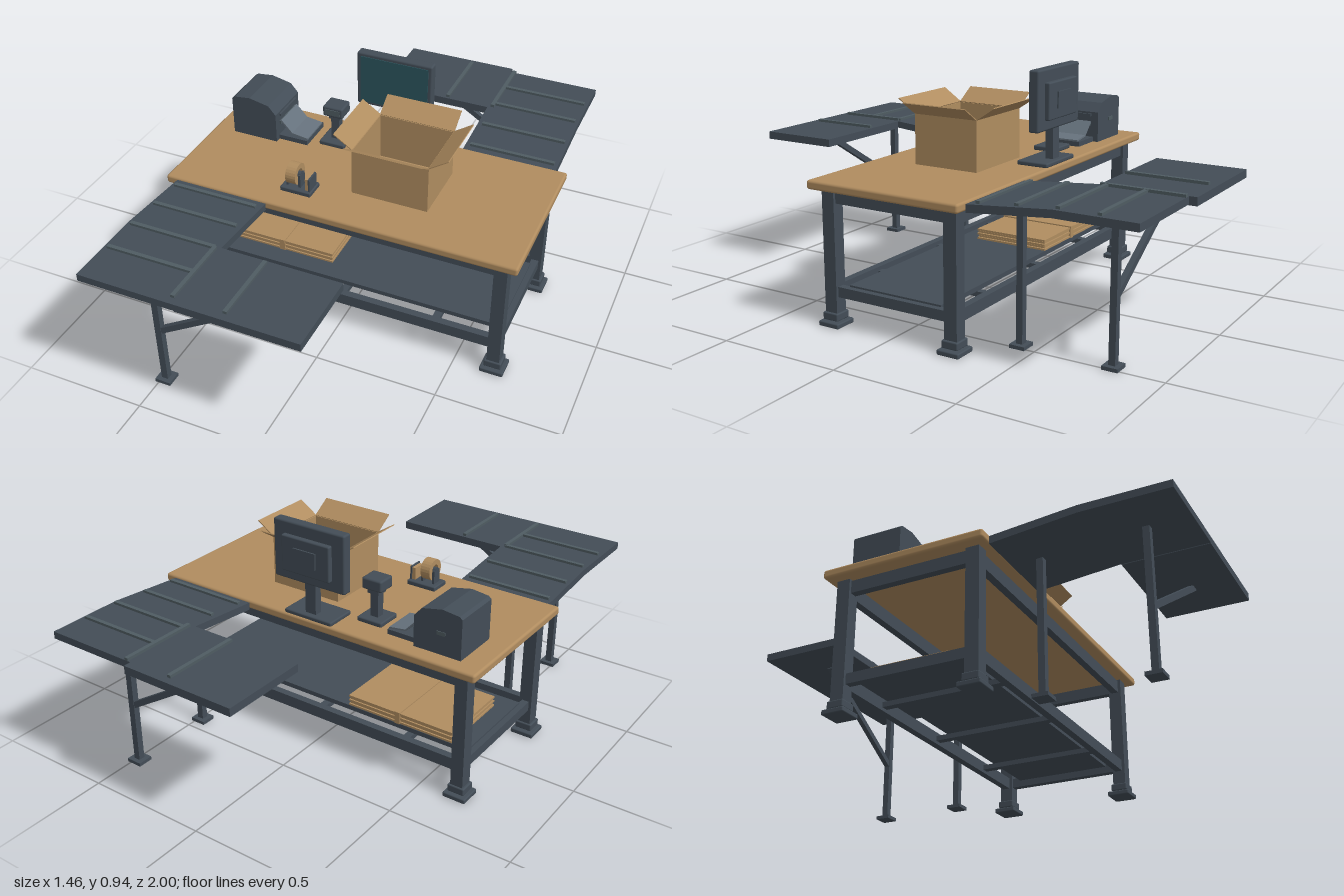
import * as THREE from 'three';
import { RoundedBoxGeometry } from 'three/addons/geometries/RoundedBoxGeometry.js';

const mat = (name, color, side = THREE.FrontSide) => {
  const m = new THREE.MeshStandardMaterial({ color, side });
  m.name = name;
  return m;
};

export function createModel() {
  const steel = mat('dark steel', 0x434d57);
  const rail = mat('rail grey', 0x4f5c62);
  const tray = mat('tray grey', 0x66727d);
  const wood = mat('wood', 0xb08c5f);
  const card = mat('cardboard', 0xb08d60, THREE.DoubleSide);
  const glass = mat('screen teal', 0x2c545d);

  const model = new THREE.Group();
  model.name = 'packingStation';
  const group = (name, parent = model) => {
    const g = new THREE.Group();
    g.name = name;
    parent.add(g);
    return g;
  };
  const add = (parent, name, geo, material) => {
    const m = new THREE.Mesh(geo, material);
    m.name = name;
    parent.add(m);
    return m;
  };
  // Box given by its limits on each axis
  const box = (parent, name, x0, x1, y0, y1, z0, z1, material = steel, round = 0) => {
    const s = [x1 - x0, y1 - y0, z1 - z0];
    const geo = round ? new RoundedBoxGeometry(...s, 2, round) : new THREE.BoxGeometry(...s);
    const m = add(parent, name, geo, material);
    m.position.set((x0 + x1) / 2, (y0 + y1) / 2, (z0 + z1) / 2);
    return m;
  };
  const shapeOf = pts => new THREE.Shape(pts.map(p => new THREE.Vector2(...p)));
  const extrude = (pts, depth) => new THREE.ExtrudeGeometry(shapeOf(pts), { depth, bevelEnabled: false });

  // Workbench
  const bench = group('workbench');
  box(bench, 'tabletop', -0.73, 0.73, 0.537, 0.572, -0.33, 0.33, wood, 0.01);
  for (const sx of [-1, 1]) for (const sz of [-1, 1]) {
    const leg = group('benchLeg', bench);
    leg.position.set(sx * 0.659, 0, sz * 0.268);
    box(leg, 'post', -0.026, 0.026, 0.05, 0.537, -0.027, 0.027);
    box(leg, 'ankle', -0.035, 0.035, 0.03, 0.06, -0.034, 0.034, steel, 0.005);
    box(leg, 'foot', -0.048, 0.048, 0.006, 0.026, -0.046, 0.046, steel, 0.005);
    box(leg, 'footStem', -0.022, 0.022, 0.02, 0.035, -0.022, 0.022);
  }
  for (const s of [-1, 1]) {
    box(bench, 'longApron', -0.64, 0.64, 0.478, 0.533, s * 0.268 - 0.015, s * 0.268 + 0.015);
    box(bench, 'sideApron', s * 0.659 - 0.015, s * 0.659 + 0.015, 0.483, 0.533, -0.25, 0.25);
    box(bench, 'shelfLongRail', -0.64, 0.64, 0.117, 0.165, s * 0.268 - 0.015, s * 0.268 + 0.015);
    box(bench, 'shelfSideRail', s * 0.659 - 0.015, s * 0.659 + 0.015, 0.122, 0.162, -0.25, 0.25);
  }
  box(bench, 'lowerShelf', -0.65, 0.65, 0.15, 0.169, -0.205, 0.205);
  for (const x of [-0.4, 0, 0.4]) box(bench, 'shelfSupport', x - 0.015, x + 0.015, 0.13, 0.15, -0.255, 0.255);

  // Flat cartons bound with a strap
  const stack = group('flatCartons');
  for (let i = 0; i < 5; i++) {
    const d = (i % 2) * 0.004;
    box(stack, 'flatCarton', -0.58 + d, -0.104 - d, 0.169 + i * 0.0094, 0.1766 + i * 0.0094, -0.203 + d, 0.123 - d, card);
  }
  box(stack, 'cartonCore', -0.57, -0.114, 0.169, 0.212, -0.193, 0.113, card);
  box(stack, 'strap', -0.347, -0.323, 0.168, 0.219, -0.207, 0.127, card);

  // Side conveyor tables, one in front and one turned to the back
  const sideTable = (name, zIn, zMain, zEnd, legZ) => {
    const g = group(name);
    const deck = extrude([[0.33, 0.533], [0.66, 0.563], [zMain, 0.563], [zMain, 0.592], [0.66, 0.592], [0.33, 0.563]], 0.395);
    deck.rotateY(-Math.PI / 2).translate(-0.285, 0, 0);
    add(g, 'slopedDeck', deck, steel);
    box(g, 'sideDeck', -0.285, 0.2, 0.56, 0.592, zIn, zEnd);
    const top = z => 0.592 - Math.max(0, 0.66 - z) * 0.088;
    for (const z of [0.37, 0.52, 0.675, 0.825])
      box(g, 'crossRail', -0.665, -0.305, top(z) - 0.005, top(z) + 0.01, z - 0.008, z + 0.008, rail);
    for (const x of [-0.305, -0.1])
      box(g, 'longRail', x - 0.008, x + 0.008, 0.587, 0.603, zIn + 0.01, zEnd - 0.03, rail);
    for (const z of [0.435, legZ]) {
      box(g, 'tableLeg', -0.495, -0.468, 0.012, top(z) - 0.02, z - 0.013, z + 0.013);
      box(g, 'tableFoot', -0.514, -0.449, 0.005, 0.019, z - 0.031, z + 0.031);
    }
    // Diagonal brace from the outer leg up to the side deck
    const a = new THREE.Vector2(-0.48, 0.262), b = new THREE.Vector2(0.015, 0.566);
    const brace = add(g, 'brace', new THREE.BoxGeometry(a.distanceTo(b), 0.024, 0.022), steel);
    brace.position.set((a.x + b.x) / 2, (a.y + b.y) / 2, legZ);
    brace.rotation.z = Math.atan2(b.y - a.y, b.x - a.x);
    return g;
  };
  sideTable('frontSideTable', 0.665, 0.998, 0.998, 0.835);
  sideTable('backSideTable', 0.64, 0.97, 1.0, 0.8).rotation.y = Math.PI;

  // Open carton with four flaps
  const carton = group('openCarton');
  const [x0, x1, z0, z1, yb, yt, t] = [-0.005, 0.31, -0.138, 0.14, 0.572, 0.77, 0.004];
  box(carton, 'cartonBottom', x0, x1, yb, yb + t, z0, z1, card);
  box(carton, 'cartonWall', x0, x0 + t, yb, yt, z0, z1, card);
  box(carton, 'cartonWall', x1 - t, x1, yb, yt, z0, z1, card);
  box(carton, 'cartonWall', x0, x1, yb, yt, z0, z0 + t, card);
  box(carton, 'cartonWall', x0, x1, yb, yt, z1 - t, z1, card);
  const cx = (x0 + x1) / 2, cz = (z0 + z1) / 2, w = x1 - x0, d = z1 - z0;
  for (let i = 0; i < 4; i++) {
    const width = i % 2 ? d : w, reach = i % 2 ? w / 2 : d / 2;
    const flap = extrude([[0, 0], [0.077, 0.051], [0.075, 0.054], [-0.002, 0.003]], width);
    flap.translate(reach, yt, -width / 2).rotateY(-Math.PI / 2 + i * Math.PI / 2);
    add(carton, 'cartonFlap', flap, card).position.set(cx, 0, cz);
  }

  // Monitor
  const monitor = group('monitor');
  box(monitor, 'monitorCase', -0.165, 0.16, 0.713, 0.95, -0.315, -0.272, steel, 0.008);
  box(monitor, 'screen', -0.149, 0.144, 0.728, 0.935, -0.273, -0.269, glass);
  box(monitor, 'backHousing', -0.11, 0.11, 0.755, 0.9, -0.335, -0.31, steel, 0.006);
  box(monitor, 'mountPlate', -0.05, 0.05, 0.795, 0.86, -0.341, -0.333);
  box(monitor, 'monitorPost', -0.024, 0.024, 0.58, 0.78, -0.305, -0.272);
  box(monitor, 'monitorBase', -0.11, 0.11, 0.572, 0.59, -0.327, -0.195, steel, 0.006);

  // Label printer
  const printer = group('labelPrinter');
  const shell = extrude([[-0.637, 0.572], [-0.438, 0.572], [-0.438, 0.698], [-0.47, 0.735], [-0.555, 0.753], [-0.625, 0.745], [-0.637, 0.735]], 0.205);
  add(printer, 'printerShell', shell, steel).position.z = -0.267;
  box(printer, 'printerSlot', -0.44, -0.432, 0.64, 0.655, -0.235, -0.095, rail);
  box(printer, 'printerLip', -0.44, -0.43, 0.68, 0.69, -0.235, -0.095);
  box(printer, 'rearSocket', -0.57, -0.535, 0.65, 0.665, -0.27, -0.265, rail);
  box(printer, 'trayBase', -0.438, -0.31, 0.572, 0.592, -0.245, -0.087);
  const chute = extrude([[-0.434, 0.655], [-0.385, 0.602], [-0.312, 0.592], [-0.312, 0.598], [-0.382, 0.608], [-0.43, 0.66]], 0.14);
  add(printer, 'outputTray', chute, tray).position.z = -0.236;

  // Barcode scanner on a stand
  const scanner = group('scannerStand');
  box(scanner, 'scannerBase', -0.268, -0.157, 0.572, 0.592, -0.225, -0.115, steel, 0.006);
  box(scanner, 'scannerPost', -0.23, -0.195, 0.59, 0.7, -0.19, -0.155);
  box(scanner, 'scannerNeck', -0.237, -0.187, 0.688, 0.71, -0.197, -0.148);
  box(scanner, 'scannerHead', -0.256, -0.168, 0.706, 0.753, -0.21, -0.13, steel, 0.008);
  box(scanner, 'scannerWindow', -0.245, -0.179, 0.718, 0.742, -0.132, -0.127, rail);

  // Tape dispenser
  const tape = group('tapeDispenser');
  box(tape, 'dispenserBase', -0.268, -0.137, 0.572, 0.592, 0.153, 0.24, steel, 0.005);
  for (const x of [-0.25, -0.198]) box(tape, 'rollHolder', x, x + 0.01, 0.59, 0.648, 0.178, 0.218);
  const ring = new THREE.Shape().absarc(0, 0, 0.044, 0, Math.PI * 2);
  ring.holes.push(new THREE.Path().absarc(0, 0, 0.022, 0, Math.PI * 2, true));
  const roll = new THREE.ExtrudeGeometry(ring, { depth: 0.042, bevelEnabled: false, curveSegments: 12 });
  roll.rotateY(Math.PI / 2);
  add(tape, 'tapeRoll', roll, card).position.set(-0.24, 0.645, 0.2);
  const hub = new THREE.CylinderGeometry(0.013, 0.013, 0.06, 16).rotateZ(Math.PI / 2);
  add(tape, 'rollHub', hub, steel).position.set(-0.219, 0.645, 0.2);
  box(tape, 'tapeTail', -0.165, -0.147, 0.59, 0.643, 0.172, 0.225, card);
  box(tape, 'cutter', -0.15, -0.143, 0.59, 0.648, 0.168, 0.23);

  return model;
}
